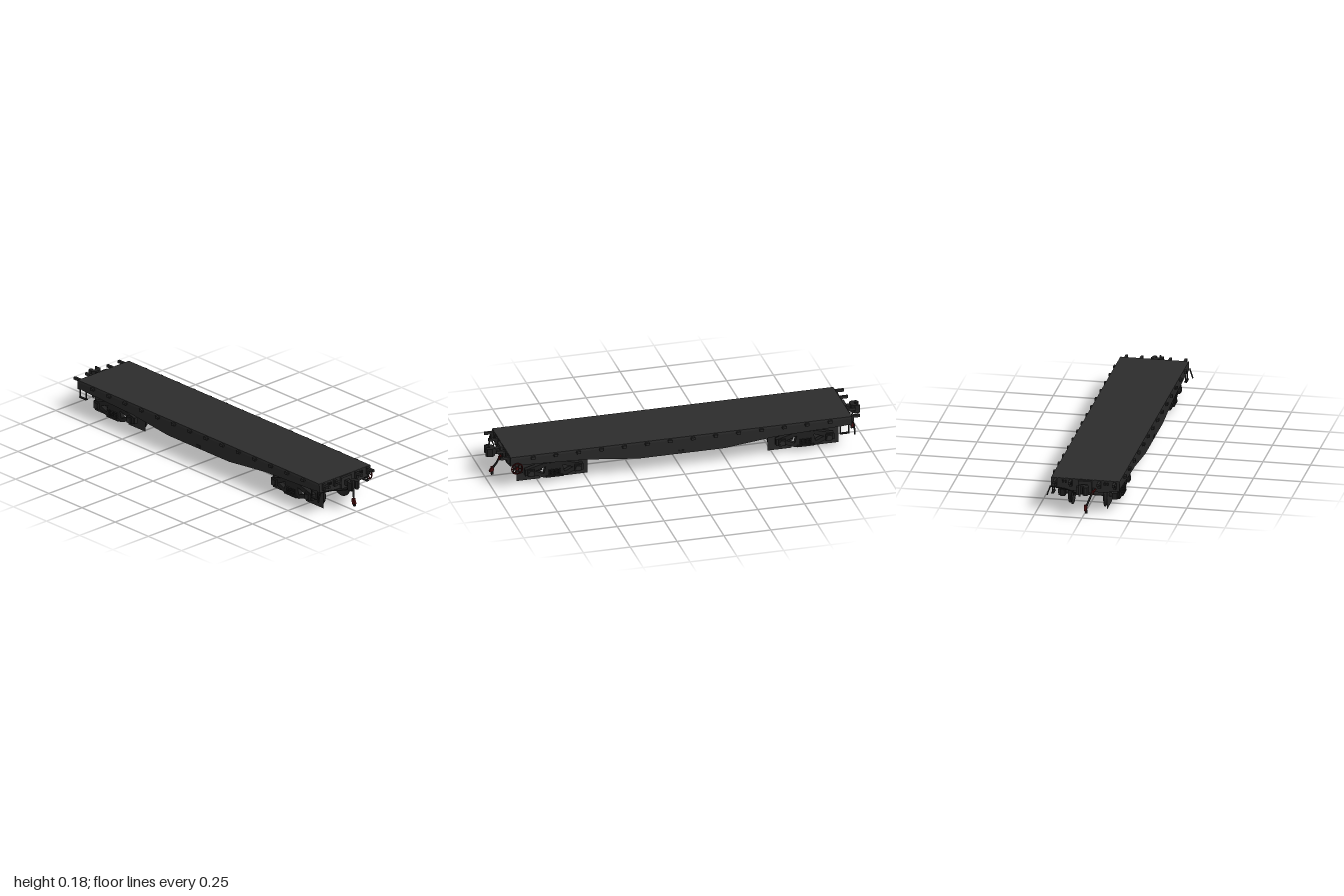
import * as THREE from 'three';

const mat = (name, color, side = THREE.FrontSide) => {
  const m = new THREE.MeshStandardMaterial({ color, side });
  m.name = name;
  return m;
};

export function createModel() {
  const deckGrey = mat('deck grey', 0x2c2c2c);
  const frameGrey = mat('frame grey', 0x272727);
  const truckBlack = mat('truck black', 0x1f1f1f);
  const red = mat('dark red', 0x4a0e0e);

  const add = (parent, name, geo, m, x = 0, y = 0, z = 0) => {
    const mesh = new THREE.Mesh(geo, m);
    mesh.name = name;
    mesh.position.set(x, y, z);
    parent.add(mesh);
    return mesh;
  };
  const box = (p, name, m, w, h, d, x, y, z) => add(p, name, new THREE.BoxGeometry(w, h, d), m, x, y, z);
  const group = (parent, name) => {
    const g = new THREE.Group();
    g.name = name;
    parent.add(g);
    return g;
  };
  const shape = pts => new THREE.Shape(pts.map(p => new THREE.Vector2(...p)));
  // plate extruded along z, centred on its own plane
  const plate = (s, depth) =>
    new THREE.ExtrudeGeometry(s, { depth, bevelEnabled: false }).translate(0, 0, -depth / 2);
  const tube = (p, name, m, pts, r) => add(p, name, new THREE.TubeGeometry(
    new THREE.CatmullRomCurve3(pts.map(q => new THREE.Vector3(...q)), false, 'catmullrom', 0.2), 16, r, 6), m);
  // cylinder with its axis along z
  const disc = (p, name, m, r, d, x, y, z, seg = 24) =>
    add(p, name, new THREE.CylinderGeometry(r, r, d, seg).rotateX(Math.PI / 2), m, x, y, z);
  const mirrorX = pts => [...pts, ...pts.slice().reverse().map(([x, y]) => [-x, y])];

  const model = new THREE.Group();
  model.name = 'flatWagon';

  // Deck and fish-belly sills
  const body = group(model, 'body');
  box(body, 'deck', deckGrey, 1.82, 0.012, 0.36, 0, 0.173, 0);
  const sideShape = shape(mirrorX([[-0.91, 0.178], [-0.91, 0.135], [-0.86, 0.13], [-0.5, 0.116], [-0.23, 0.086]]));
  const centreShape = shape(mirrorX([[-0.91, 0.168], [-0.91, 0.12], [-0.48, 0.115], [-0.23, 0.086]]));
  for (const s of [1, -1]) {
    add(body, 'sideSill', plate(sideShape, 0.008), frameGrey, 0, 0, s * 0.175);
    add(body, 'centreSill', plate(centreShape, 0.008), frameGrey, 0, 0, s * 0.035);
    box(body, 'sillFlange', frameGrey, 0.46, 0.005, 0.02, 0, 0.0885, s * 0.169);
    box(body, 'stringer', frameGrey, 1.8, 0.018, 0.008, 0, 0.159, s * 0.105);
    box(body, 'sillBadge', truckBlack, 0.03, 0.016, 0.003, 0, 0.098, s * 0.18);
    // Stake pockets
    for (let i = -7; i < 7; i++) {
      const x = (i + 0.5) * 0.122;
      box(body, 'stakePocket', frameGrey, 0.02, 0.014, 0.014, x, 0.166, s * 0.185);
      box(body, 'pocketStrap', truckBlack, 0.026, 0.005, 0.006, x, 0.166, s * 0.182);
    }
  }
  box(body, 'centreSillCap', frameGrey, 0.46, 0.005, 0.1, 0, 0.0885, 0);

  // Tapered cross-bearers under the deck
  const bearer = shape([[-0.172, 0.168], [-0.172, 0.14], [-0.035, 0.105], [0.035, 0.105], [0.172, 0.14], [0.172, 0.168]]);
  for (const x of [-0.36, -0.22, -0.08, 0.08, 0.22, 0.36])
    add(body, 'crossBearer', plate(bearer, 0.008), frameGrey, x).rotation.y = Math.PI / 2;
  for (const x of [-0.67, 0.67])
    add(body, 'bodyBolster', plate(bearer, 0.05), frameGrey, x).rotation.y = Math.PI / 2;

  // Brake gear below the deck
  const gear = group(body, 'brakeGear');
  disc(gear, 'airReservoir', truckBlack, 0.022, 0.09, 0.15, 0.135, 0.1, 16).rotation.y = Math.PI / 2;
  disc(gear, 'brakeCylinder', truckBlack, 0.02, 0.07, -0.15, 0.135, -0.1, 16).rotation.y = Math.PI / 2;
  box(gear, 'brakeValve', truckBlack, 0.04, 0.035, 0.03, 0, 0.137, 0.1);
  tube(gear, 'trainPipe', truckBlack, [[-0.92, 0.13, 0.045], [-0.4, 0.13, 0.06], [0.4, 0.13, 0.06], [0.92, 0.13, -0.045]], 0.004);
  tube(gear, 'brakeRod', truckBlack, [[-0.6, 0.115, -0.06], [-0.18, 0.125, -0.1], [0.6, 0.115, -0.06]], 0.003);

  // Trucks
  const frameOutline = mirrorX([[-0.155, 0.082], [-0.155, 0.048], [-0.105, 0.048], [-0.055, 0.028]])
    .concat([[0.06, 0.108], [-0.06, 0.108]]);
  const frameShape = shape(frameOutline);
  for (const s of [1, -1])
    frameShape.holes.push(new THREE.Path([[0.045, 0.09], [0.1, 0.07], [0.055, 0.05]].map(([x, y]) => new THREE.Vector2(s * x, y))));
  const flangeProfile = [[0, 0.01], [0.02, 0.01], [0.026, 0.004], [0.046, 0.004], [0.048, 0.01], [0.055, 0.01], [0.056, -0.004],
    [0.063, -0.005], [0.063, -0.01], [0.046, -0.01], [0.042, -0.004], [0.022, -0.004], [0.018, -0.01], [0, -0.01]]
    .reverse().map(p => new THREE.Vector2(...p));
  const wheelGeo = new THREE.LatheGeometry(flangeProfile, 32).rotateX(Math.PI / 2);

  for (const side of [1, -1]) {
    const truck = group(model, 'truck');
    truck.position.x = 0.67 * side;
    for (const x of [-0.125, 0.125]) {
      disc(truck, 'axle', truckBlack, 0.01, 0.29, x, 0.063, 0, 12);
      box(truck, 'brakeBeam', truckBlack, 0.012, 0.02, 0.16, x * 0.42, 0.066, 0);
      for (const s of [1, -1]) {
        const wheel = add(truck, 'wheel', wheelGeo, truckBlack, x, 0.063, s * 0.093);
        const cover = add(truck, 'wheelPanel', new THREE.PlaneGeometry(0.13, 0.126), frameGrey, x, 0.067, s * 0.104);
        if (s < 0) wheel.rotation.y = cover.rotation.y = Math.PI;
        box(truck, 'journalBox', truckBlack, 0.036, 0.036, 0.03, x, 0.065, s * 0.145);
        disc(truck, 'bearingCap', frameGrey, 0.014, 0.006, x, 0.065, s * 0.161, 12);
        box(truck, 'brakeShoe', truckBlack, 0.012, 0.04, 0.018, x * 0.46, 0.066, s * 0.088);
      }
    }
    box(truck, 'truckBolster', truckBlack, 0.055, 0.03, 0.3, 0, 0.085, 0);
    disc(truck, 'centrePlate', truckBlack, 0.035, 0.03, 0, 0.107, 0).rotation.x = Math.PI / 2;
    for (const s of [1, -1]) {
      add(truck, 'sideFrame', plate(frameShape, 0.026), truckBlack, 0, 0, s * 0.137);
      box(truck, 'springPlank', truckBlack, 0.09, 0.008, 0.05, 0, 0.034, s * 0.135);
      for (const x of [-0.022, 0, 0.022])
        for (let i = 0; i < 4; i++)
          add(truck, 'springCoil', new THREE.TorusGeometry(0.008, 0.0025, 5, 10).rotateX(Math.PI / 2),
            frameGrey, x, 0.043 + i * 0.009, s * 0.152);
    }
  }

  // Wagon ends, the same at both ends by half a turn
  const endShape = shape([[-0.179, 0.178], [-0.179, 0.128], [-0.1, 0.114], [0.1, 0.114], [0.179, 0.128], [0.179, 0.178]]);
  for (const side of [1, -1]) {
    const end = group(model, 'wagonEnd');
    if (side < 0) end.rotation.y = Math.PI;
    add(end, 'endSill', plate(endShape, 0.01), frameGrey, 0.906).rotation.y = Math.PI / 2;
    for (const s of [1, -1]) {
      for (const z of [0.075, 0.155]) {
        box(end, 'endArm', frameGrey, 0.05, 0.014, 0.013, 0.935, 0.168, s * z);
        box(end, 'armBracket', truckBlack, 0.016, 0.032, 0.015, 0.918, 0.156, s * z);
      }
      for (const z of [0.102, 0.117])
        box(end, 'endBlock', truckBlack, 0.01, 0.013, 0.008, 0.915, 0.163, s * z);
      // Corner step
      for (const x of [0.85, 0.895]) box(end, 'stepHanger', truckBlack, 0.006, 0.05, 0.005, x, 0.112, s * 0.175);
      box(end, 'stepTread', truckBlack, 0.051, 0.005, 0.014, 0.8725, 0.087, s * 0.175);
    }

    // Coupler
    const coupler = group(end, 'coupler');
    box(coupler, 'strikerPlate', frameGrey, 0.02, 0.062, 0.07, 0.915, 0.143, 0);
    box(coupler, 'shank', truckBlack, 0.06, 0.028, 0.03, 0.94, 0.143, 0);
    const head = shape([[0.95, -0.018], [0.968, -0.035], [0.995, -0.032], [0.988, -0.02], [0.974, -0.012],
      [0.974, 0.008], [0.99, 0.002], [1, 0.01], [0.992, 0.026], [0.968, 0.03], [0.95, 0.018]]);
    const headGeo = plate(head, 0.044).rotateX(-Math.PI / 2);
    add(coupler, 'couplerHead', headGeo, truckBlack, 0, 0.143, 0);
    disc(coupler, 'knucklePin', frameGrey, 0.006, 0.06, 0.982, 0.143, 0.017, 10).rotation.x = Math.PI / 2;

    // Uncoupling lever with slanted handle
    tube(end, 'uncouplingLever', truckBlack, [[0.965, 0.118, 0.01], [0.94, 0.115, 0.05], [0.925, 0.125, 0.1], [0.922, 0.133, 0.182]], 0.003);
    box(end, 'leverHandle', truckBlack, 0.007, 0.054, 0.006, 0.922, 0.11, 0.19).rotation.x = -0.32;

    // Brake hose with red cock and coupling
    const hose = group(end, 'brakeHose');
    tube(hose, 'hose', truckBlack, [[0.915, 0.135, -0.045], [0.935, 0.118, -0.042], [0.945, 0.085, -0.028], [0.962, 0.052, -0.016]], 0.0055);
    box(hose, 'hoseCock', red, 0.018, 0.022, 0.014, 0.93, 0.117, -0.042).rotation.x = -0.5;
    box(hose, 'cockHandle', red, 0.008, 0.008, 0.03, 0.932, 0.128, -0.05).rotation.x = 0.9;
    box(hose, 'hoseCollar', red, 0.014, 0.016, 0.016, 0.963, 0.05, -0.013);
    box(hose, 'hoseCoupling', red, 0.02, 0.018, 0.012, 0.968, 0.036, -0.012).rotation.z = 0.4;
    box(hose, 'hoseGasket', truckBlack, 0.012, 0.016, 0.01, 0.965, 0.023, -0.016);
  }

  // Hand brake wheel on the back corner
  const brake = group(model, 'handBrake');
  brake.position.set(0.88, 0.118, -0.192);
  add(brake, 'brakeWheelRim', new THREE.TorusGeometry(0.029, 0.0035, 6, 24), red);
  for (let i = 0; i < 3; i++)
    box(brake, 'brakeWheelSpoke', red, 0.056, 0.004, 0.003, 0, 0, 0).rotation.z = i * Math.PI / 3;
  disc(brake, 'brakeWheelHub', red, 0.007, 0.01, 0, 0, 0, 10);
  disc(brake, 'brakeShaft', truckBlack, 0.004, 0.03, 0, 0, 0.016, 8);
  box(brake, 'brakeHousing', truckBlack, 0.03, 0.04, 0.014, 0, 0.005, 0.022);
  return model;
}
